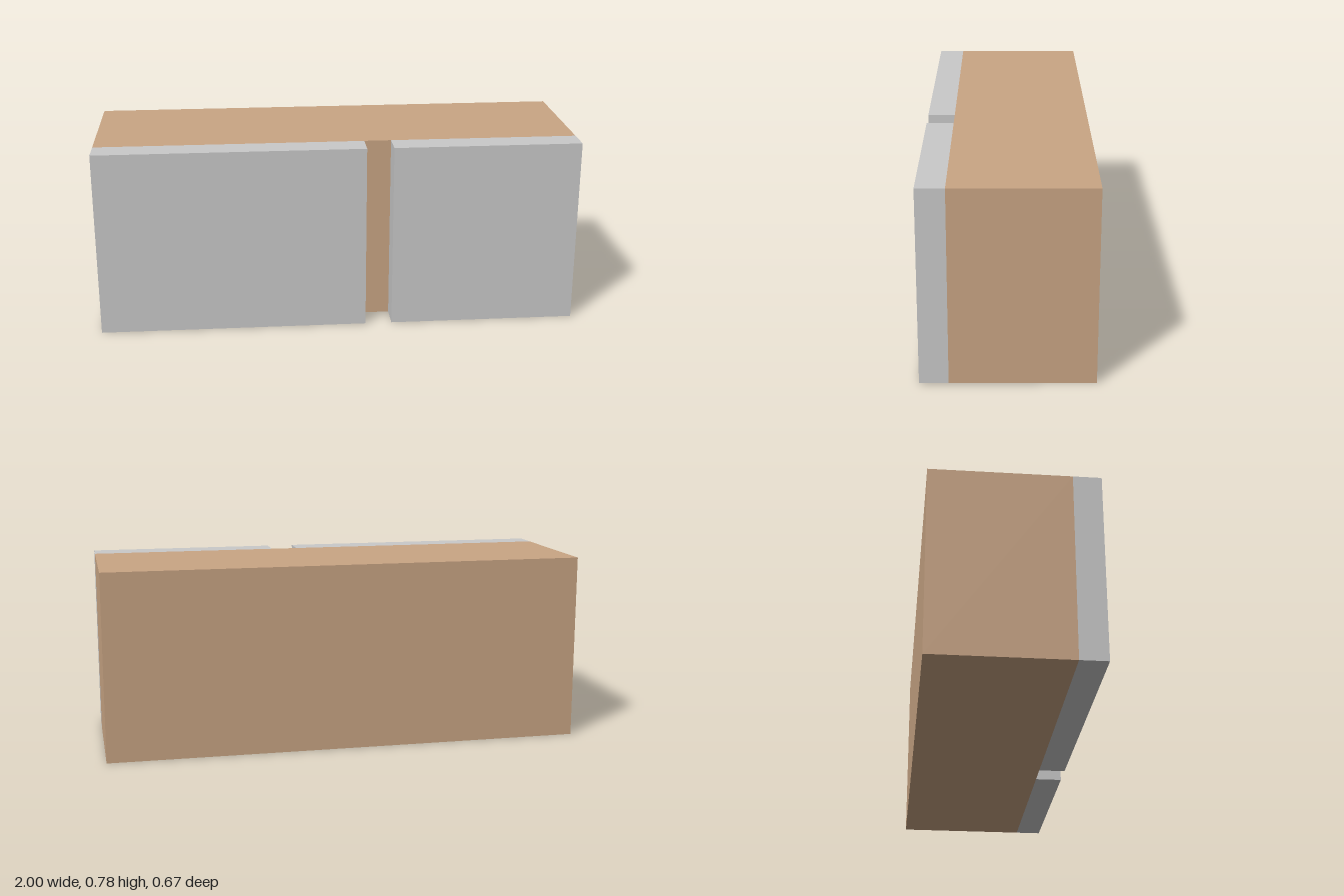
import * as THREE from 'three';

export function createModel() {
  const model = new THREE.Group();
  model.name = 'cabinet';
  const wood = new THREE.MeshStandardMaterial({ color: 0xc9a584 });
  wood.name = 'wood';
  const grey = new THREE.MeshStandardMaterial({ color: 0xc9c9c9 });
  grey.name = 'light grey';

  const u = 1 / 9; // design module: 18 x 7 x 6 modules overall
  const height = 7 * u;

  // Box given by its x and z ranges in modules, standing on the ground
  function block(name, x0, x1, z0, z1, material) {
    const geometry = new THREE.BoxGeometry((x1 - x0) * u, height, (z1 - z0) * u);
    const mesh = new THREE.Mesh(geometry, material);
    mesh.name = name;
    mesh.position.set((x0 + x1) / 2 * u, height / 2, (z0 + z1) / 2 * u);
    model.add(mesh);
  }

  // Main body with two front panels separated by a vertical gap
  block('body', -9, 9, -3, 2, wood);
  block('rightFrontPanel', -9, 1, 2, 3, grey);
  block('leftFrontPanel', 2, 9, 2, 3, grey);

  return model;
}
